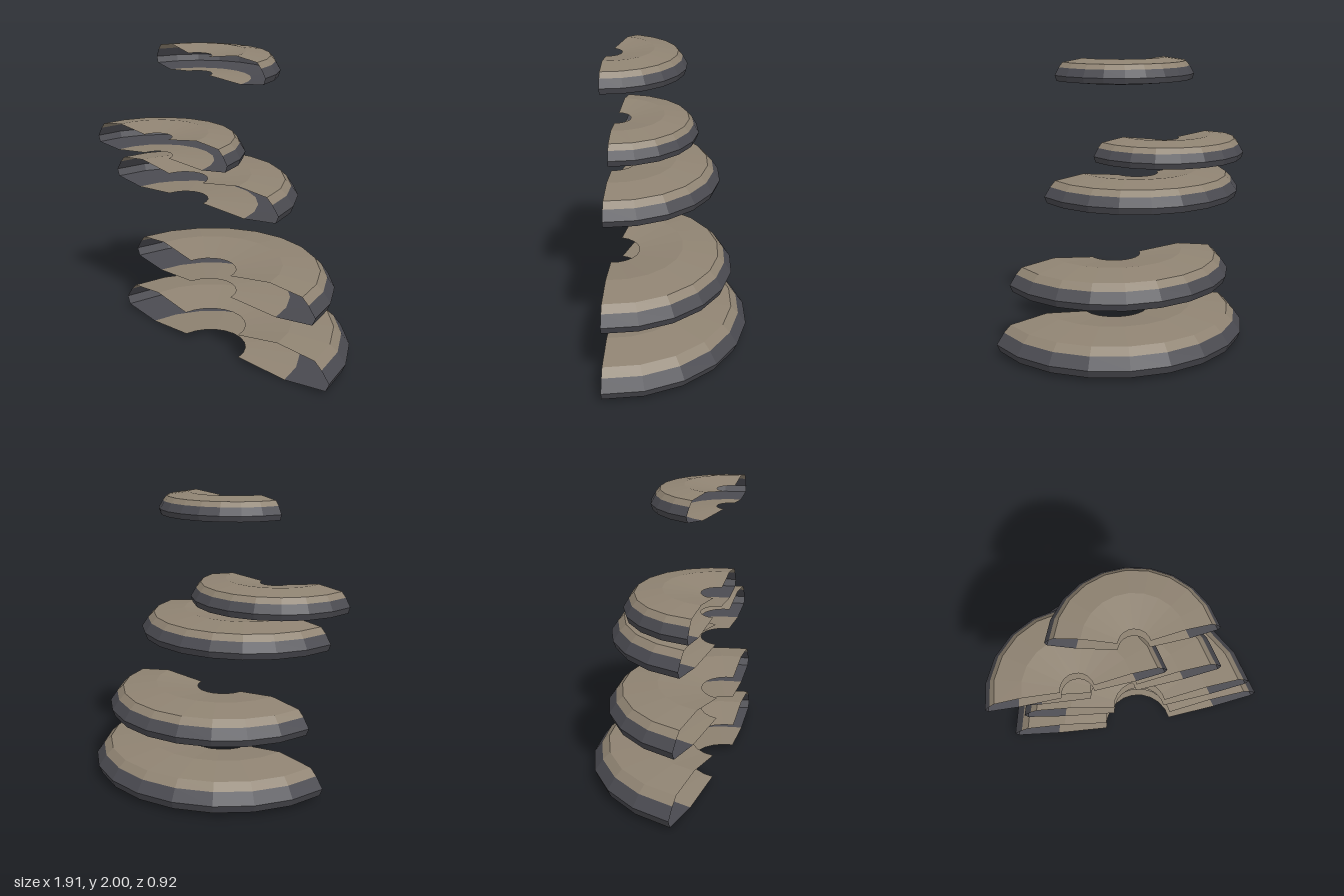
import * as THREE from 'three';

const tan = new THREE.MeshStandardMaterial({ color: 0x8f8372, flatShading: true, side: THREE.DoubleSide });
const dark = new THREE.MeshStandardMaterial({ color: 0x4a4a50, flatShading: true, side: THREE.DoubleSide });

// Half-round bracket cap: an open hollow shell swept around the cut edge's centre.
// Profile points are [fraction of radius, fraction of height].
function makeCap({ x, y, radius, height, notch, arc }) {
  const cap = new THREE.Group();
  const n = notch / radius;
  const sweep = (name, profile, material) => {
    const points = profile.map(([r, h]) => new THREE.Vector2(r * radius, h * height));
    const geometry = new THREE.LatheGeometry(points, 10, Math.PI / 2, THREE.MathUtils.degToRad(arc));
    const mesh = new THREE.Mesh(geometry, material);
    mesh.name = name;
    cap.add(mesh);
  };
  sweep('underside', [[n, 0.16], [0.65, 0]], tan);
  sweep('rim', [[0.65, 0], [0.975, 0.11], [1, 0.34], [0.94, 0.66]], dark);
  sweep('top', [[0.94, 0.66], [0.885, 0.86], [0.59, 1], [n, 0.83]], tan);
  cap.position.set(x, y, 0.46);
  return cap;
}

export function createModel() {
  const group = new THREE.Group();
  group.name = 'bracketFungus';
  // Caps from the lowest to the highest
  const caps = [
    { x: 0.03, y: 0, radius: 0.925, height: 0.24, notch: 0.24, arc: 169 },
    { x: 0.03, y: 0.415, radius: 0.815, height: 0.22, notch: 0.18, arc: 167 },
    { x: -0.155, y: 1.008, radius: 0.725, height: 0.2, notch: 0.15, arc: 170 },
    { x: -0.385, y: 1.257, radius: 0.575, height: 0.183, notch: 0.105, arc: 175 },
    { x: -0.035, y: 1.836, radius: 0.505, height: 0.164, notch: 0.093, arc: 160 },
  ];
  caps.forEach((spec, i) => {
    const cap = makeCap(spec);
    cap.name = `cap${i + 1}`;
    group.add(cap);
  });
  return group;
}
